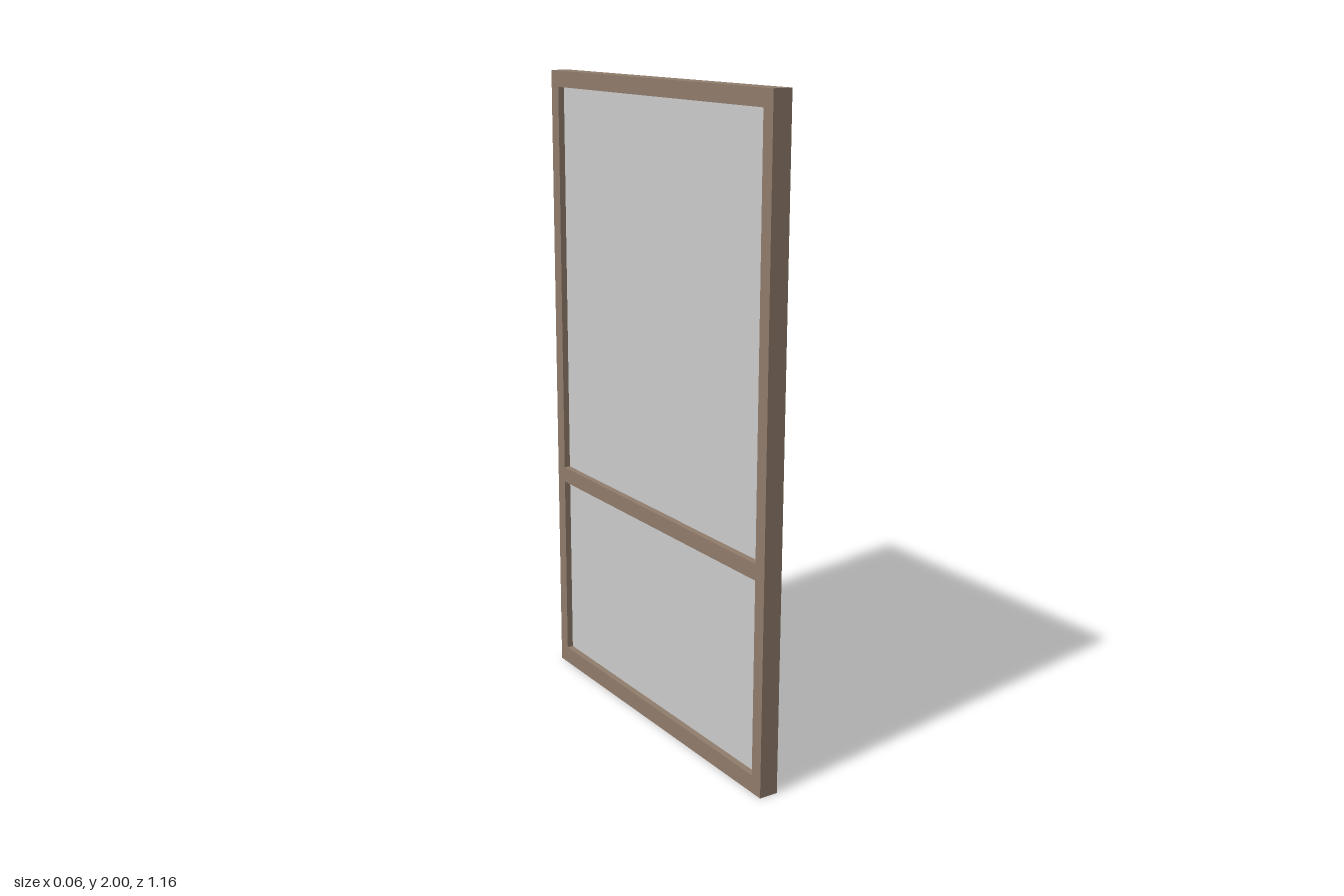
import * as THREE from 'three';

const HALF_Z = 0.58, HEIGHT = 2, DEPTH = 0.06, STILE = 0.042, PANE = 0.02;
// Bottom and top of each opening
const OPENINGS = [
  { name: 'lowerPane', y0: 0.055, y1: 0.655 },
  { name: 'upperPane', y0: 0.705, y1: 1.95 },
];

function rectangle(path, x0, y0, x1, y1) {
  path.moveTo(x0, y0);
  path.lineTo(x1, y0);
  path.lineTo(x1, y1);
  path.lineTo(x0, y1);
  path.closePath();
  return path;
}

export function createModel() {
  const model = new THREE.Group();
  model.name = 'framedWindow';
  const wood = new THREE.MeshStandardMaterial({ color: 0x917d6c });
  const grey = new THREE.MeshStandardMaterial({ color: 0xcccccc });
  const inner = HALF_Z - STILE;

  // Frame with cross rail: one outline with two openings, extruded across x
  const outline = rectangle(new THREE.Shape(), -HALF_Z, 0, HALF_Z, HEIGHT);
  for (const { y0, y1 } of OPENINGS) {
    outline.holes.push(rectangle(new THREE.Path(), -inner, y0, inner, y1));
  }
  const geometry = new THREE.ExtrudeGeometry(outline, { depth: DEPTH, bevelEnabled: false });
  geometry.translate(0, 0, -DEPTH / 2).rotateY(Math.PI / 2);
  const frame = new THREE.Mesh(geometry, wood);
  frame.name = 'frame';
  model.add(frame);

  // Thin panes set midway in the frame depth
  for (const { name, y0, y1 } of OPENINGS) {
    const pane = new THREE.Mesh(new THREE.BoxGeometry(PANE, y1 - y0, inner * 2), grey);
    pane.position.y = (y0 + y1) / 2;
    pane.name = name;
    model.add(pane);
  }
  return model;
}
